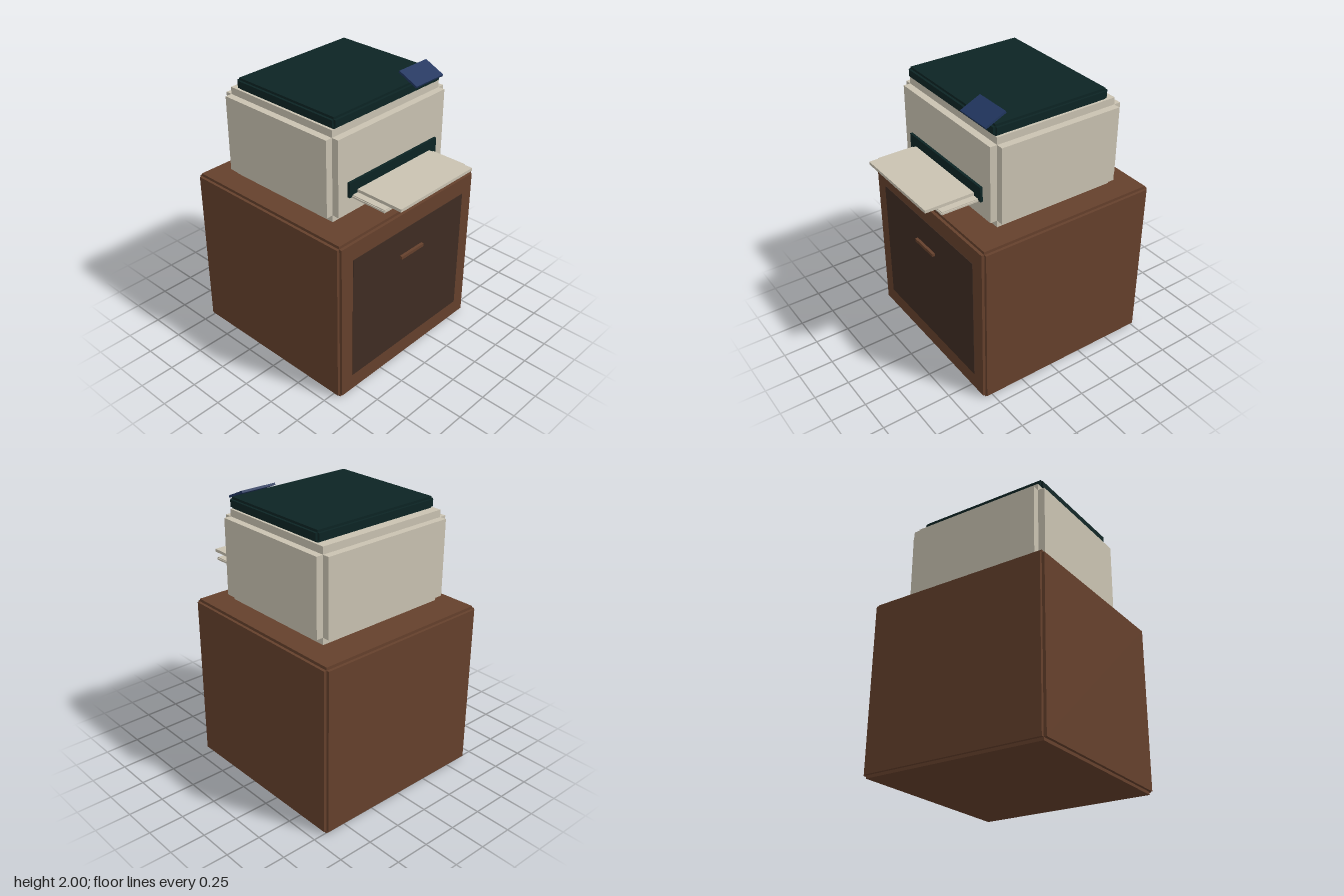
import * as THREE from 'three';

const material = (name, color) => {
  const m = new THREE.MeshStandardMaterial({ color });
  m.name = name;
  return m;
};

export function createModel() {
  const model = new THREE.Group();
  model.name = 'printerOnCabinet';

  const wood = material('brownWood', 0x65402c);
  const darkWood = material('darkWood', 0x3f2c22);
  const beige = material('beigePlastic', 0xc9c2b1);
  const dark = material('darkGreenPlastic', 0x0c2424);
  const blue = material('bluePlastic', 0x21365f);

  // Box given by its limits on each axis
  function box(name, mat, [x0, x1], [y0, y1], [z0, z1], parent = model) {
    const mesh = new THREE.Mesh(new THREE.BoxGeometry(x1 - x0, y1 - y0, z1 - z0), mat);
    mesh.position.set((x0 + x1) / 2, (y0 + y1) / 2, (z0 + z1) / 2);
    mesh.name = name;
    parent.add(mesh);
    return mesh;
  }

  // Box with notched edges: three crossing slabs, each full size along one axis
  function notchedBox(name, mat, limits, inset) {
    const group = new THREE.Group();
    group.name = name;
    ['Width', 'Height', 'Depth'].forEach((label, axis) => {
      const [x, y, z] = limits.map(([a, b], i) => (i === axis ? [a, b] : [a + inset, b - inset]));
      box(name + label, mat, x, y, z, group);
    });
    model.add(group);
  }

  // Cabinet with door and handle
  notchedBox('cabinet', wood, [[-0.67, 0.67], [0, 1.21], [-0.773, 0.57]], 0.02);
  box('cabinetDoor', darkWood, [-0.55, 0.55], [0.14, 1.07], [0.566, 0.573]);
  box('doorHandle', wood, [-0.11, 0.11], [0.865, 0.887], [0.58, 0.6]);

  // Printer housing and lid
  notchedBox('printerBody', beige, [[-0.552, 0.552], [1.23, 1.867], [-0.603, 0.402]], 0.05);
  notchedBox('scannerLid', dark, [[-0.5, 0.5], [1.865, 1.945], [-0.502, 0.367]], 0.016);

  // Paper outlet and its two trays
  box('outletSlot', dark, [-0.42, 0.42], [1.395, 1.5], [0.4, 0.42]);
  notchedBox('outputTray', beige, [[-0.4, 0.4], [1.387, 1.409], [0.39, 0.688]], 0.006);
  box('paperSheet', beige, [-0.35, 0.35], [1.411, 1.432], [0.39, 0.773]);

  // Tilted control panel
  const panel = box('controlPanel', blue, [0.2, 0.467], [1.953, 1.968], [0.256, 0.416]);
  panel.rotation.x = THREE.MathUtils.degToRad(24.5);

  return model;
}
